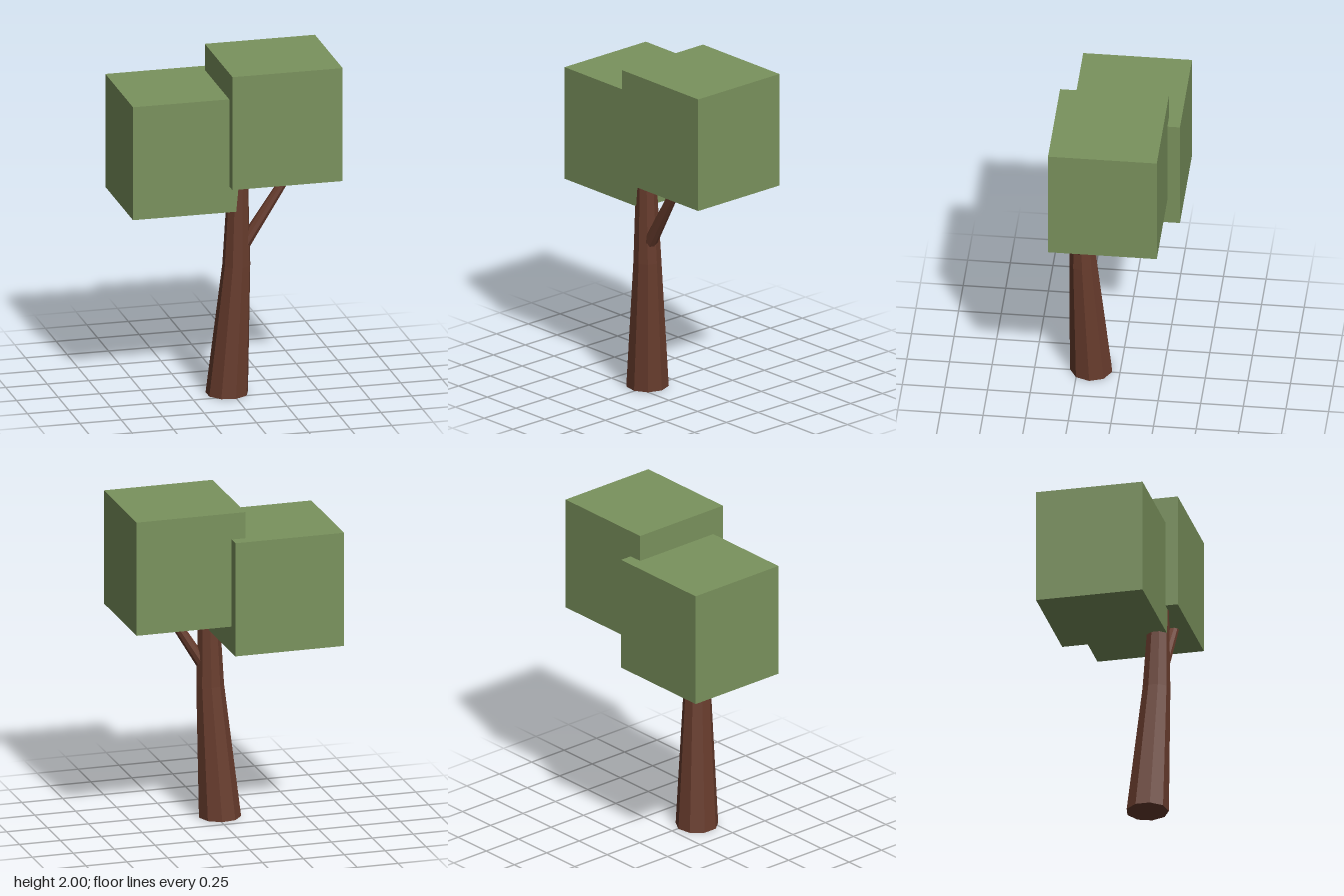
import * as THREE from 'three';

const bark = new THREE.MeshStandardMaterial({ color: 0x683c2d, flatShading: true });
const leaves = new THREE.MeshStandardMaterial({ color: 0x7a925d, flatShading: true });

// Nine-sided limb through horizontal rings [x, y, z, radius], listed bottom to top
function limb(name, rings) {
  const n = rings.length - 1;
  const geometry = new THREE.CylinderGeometry(1, 1, n, 9, n, false, Math.PI / 2);
  const p = geometry.attributes.position;
  for (let i = 0; i < p.count; i++) {
    const [x, y, z, r] = rings[Math.round(p.getY(i) + n / 2)];
    p.setXYZ(i, x + p.getX(i) * r, y, z + p.getZ(i) * r);
  }
  geometry.computeVertexNormals();
  const mesh = new THREE.Mesh(geometry, bark);
  mesh.name = name;
  return mesh;
}

// Leaf block placed by its centre
function foliage(name, x, y, z) {
  const mesh = new THREE.Mesh(new THREE.BoxGeometry(0.664, 0.694, 0.638), leaves);
  mesh.name = name;
  mesh.position.set(x, y, z);
  return mesh;
}

export function createModel() {
  const tree = new THREE.Group();
  tree.name = 'tree';
  tree.add(
    // Leaning trunk, bent at mid height, its tip inside the foliage
    limb('trunk', [
      [-0.026, 0, 0.17, 0.126],
      [0.02, 0.8, 0.212, 0.083],
      [0.026, 1.4, 0.228, 0.057],
    ]),
    // Side branch reaching into the taller block
    limb('branch', [
      [0.045, 0.9, 0.225, 0.045],
      [0.3, 1.31, 0.25, 0.032],
      [0.355, 1.4, 0.255, 0.028],
    ]),
    foliage('leftFoliage', 0.29, 1.653, 0.037),
    foliage('rightFoliage', -0.29, 1.493, -0.037),
  );
  return tree;
}
